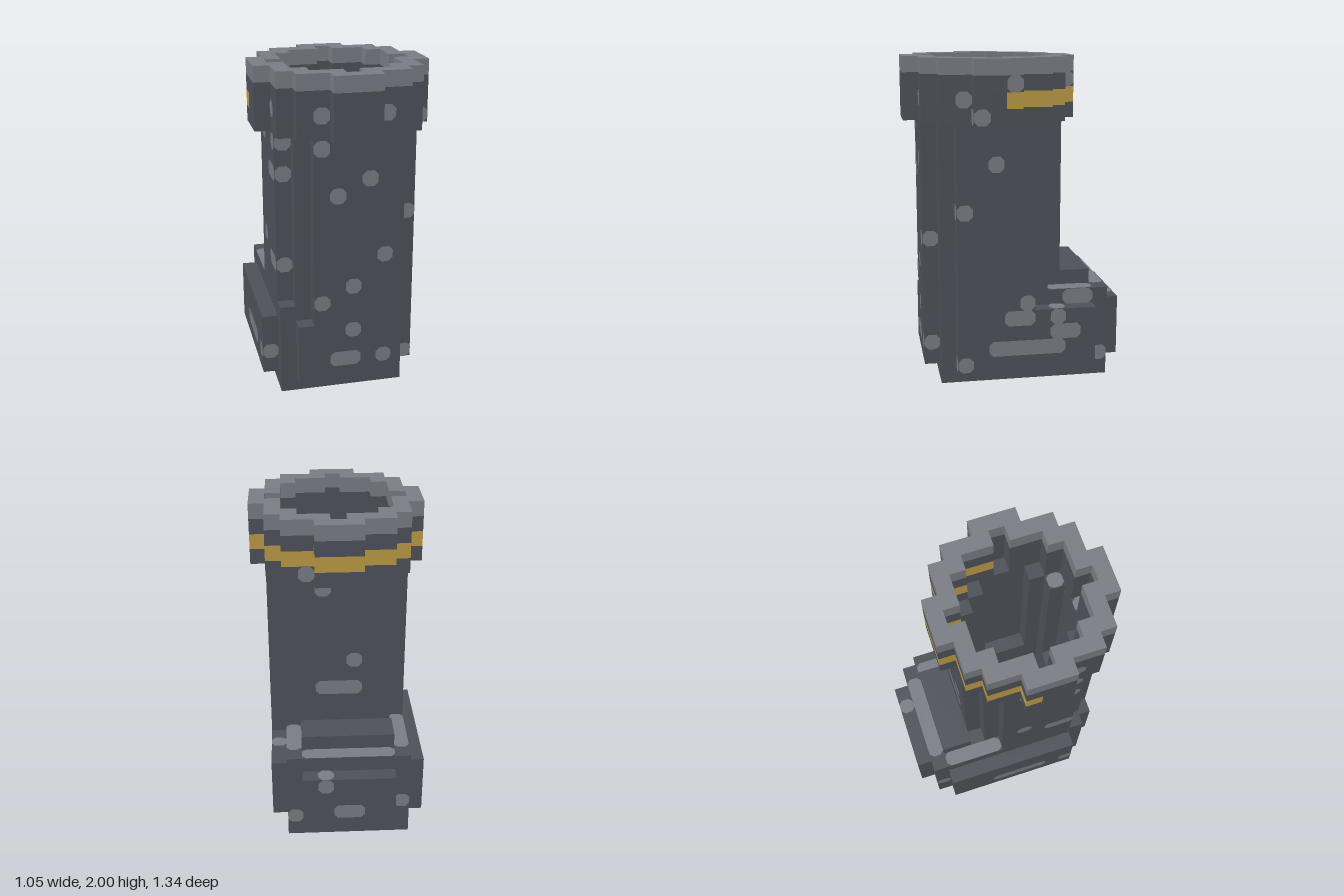
import * as THREE from 'three';
import { mergeGeometries } from 'three/addons/utils/BufferGeometryUtils.js';

// Everything is laid out on a grid of blocks (x 0..11, y 0..21, z 0..14), scaled at the end.
const UNIT = 2 / 21;

// Plans: first z row, then the [from, to] x span of each row.
const headOuter = { z: 3, rows: [[4, 7], [2, 9], [1, 10], [1, 10], [0, 11], [0, 11], [0, 11], [1, 10], [1, 10], [2, 9], [4, 7]] };
const headInner = { z: 4, rows: [[5, 6], [3, 8], [2, 9], [2, 9], [1, 10], [2, 9], [2, 9], [3, 8], [5, 6]] };
const bodyOuter = { z: 4, rows: [[3, 8], [2, 9], [1, 10], [1, 10], [1, 10], [1, 10], [1, 10], [2, 9], [3, 8]] };
const bodyInner = { z: 5, rows: [[4, 7], [3, 8], [2, 9], [2, 9], [2, 9], [3, 8], [4, 7]] };
const rect = (x0, x1, z0, z1) => ({ z: z0, rows: Array.from({ length: z1 - z0 }, () => [x0, x1]) });

function box(x0, x1, y0, y1, z0, z1) {
  const g = new THREE.BoxGeometry(x1 - x0, y1 - y0, z1 - z0);
  return g.translate((x0 + x1) / 2, (y0 + y1) / 2, (z0 + z1) / 2);
}

// Stepped wall between two plans, optionally only the rows from zMin to zMax
function wall(outer, inner, y0, y1, zMin = 0, zMax = 14) {
  const parts = [];
  outer.rows.forEach(([a, b], n) => {
    const z = outer.z + n;
    if (z < zMin || z >= zMax) return;
    const hole = inner.rows[z - inner.z];
    if (!hole) parts.push(box(a, b, y0, y1, z, z + 1));
    else parts.push(box(a, hole[0], y0, y1, z, z + 1), box(hole[1], b, y0, y1, z, z + 1));
  });
  return mergeGeometries(parts);
}

// Flat patch with clipped corners, w by h blocks, whose corner is at block (u, v) of a face
function spot(face, plane, u, v, w = 1, h = 1) {
  const c = 0.26, a = w / 2, b = h / 2;
  const pts = [[-a + c, -b], [a - c, -b], [a, -b + c], [a, b - c], [a - c, b], [-a + c, b], [-a, b - c], [-a, -b + c]];
  const g = new THREE.ShapeGeometry(new THREE.Shape(pts.map(p => new THREE.Vector2(...p))));
  const cu = u + a, cv = v + b, e = 0.035;
  if (face === 'front') return g.translate(cu, cv, plane + e);
  if (face === 'back') return g.rotateY(Math.PI).translate(cu, cv, plane - e);
  if (face === 'plusX') return g.rotateY(Math.PI / 2).translate(plane + e, cv, cu);
  if (face === 'minusX') return g.rotateY(-Math.PI / 2).translate(plane - e, cv, cu);
  return g.rotateX(-Math.PI / 2).translate(cu, plane + e, cv);
}

// Patches per face: [plane, u, v, width, height]
const spots = {
  front: [
    [13, 3, 18], [13, 7, 18], [10, 10, 17], [11, 1, 16], [13, 3, 16], [11, 1, 14], [13, 6, 14],
    [13, 4, 13], [11, 9, 11], [13, 7, 9], [11, 1, 8], [13, 5, 7], [13, 3, 6], [13, 5, 4],
    [13, 4, 2, 2], [13, 7, 2], [11, 0, 2], [11, 9, 1],
  ],
  plusX: [
    [10, 10, 18], [11, 9, 17], [11, 7, 19], [7, 3, 19], [10, 8, 14], [10, 10, 11], [8, 12, 9],
    [10, 4, 2, 5], [10, 6, 4, 2], [10, 6, 5], [10, 4, 4], [10, 3, 3, 2], [9, 2, 5, 2],
    [9, 1, 1], [10, 10, 1], [8, 12, 2],
  ],
  back: [[4, 4, 9, 3], [4, 4, 11], [4, 6, 16], [0, 4, 2, 2], [0, 6, 4], [1, 1, 2], [1, 8, 1], [4, 7, 17]],
  minusX: [
    [1, 7, 16], [1, 10, 16], [1, 9, 14, 2], [1, 9, 8, 2], [1, 7, 9],
    [0, 5, 2, 4], [0, 10, 2], [1, 1, 2], [1, 10, 18],
  ],
  top: [
    [6, 2, 1, 6], [6, 1, 2, 1, 4], [6, 8, 2, 1, 3], [5, 9, 4], [5, 6, 0],
    [17, 5, 4], [17, 5, 12], [17, 7, 11], [6, 4, 11, 2], [1, 8, 7, 1, 2],
  ],
};

export function createModel() {
  const stone = new THREE.MeshStandardMaterial({ color: 0x4d5158 });
  stone.name = 'darkStone';
  const pale = new THREE.MeshStandardMaterial({ color: 0x7a7c84 });
  pale.name = 'paleStone';
  const gold = new THREE.MeshStandardMaterial({ color: 0xbb9a45 });
  gold.name = 'gold';

  const blocks = new THREE.Group();
  blocks.name = 'tower';
  const add = (name, geometry, material) => {
    const mesh = new THREE.Mesh(geometry, material);
    mesh.name = name;
    blocks.add(mesh);
  };

  // Foot: open plinth, hollow core, raised panels on four sides and a step at the back
  add('plinth', wall(rect(1, 9, 1, 12), rect(3, 7, 3, 10), 0, 1), stone);
  add('footCore', wall(rect(1, 9, 1, 12), rect(2, 8, 2, 11), 1, 5), stone);
  add('footLedge', wall(rect(1, 9, 1, 12), rect(2, 8, 5, 11), 5, 6), stone);
  add('frontPanel', box(2, 8, 1, 5, 12, 13), stone);
  add('backPanel', box(2, 8, 1, 5, 0, 1), stone);
  add('sidePanelMinusX', box(0, 1, 1, 5, 2, 11), stone);
  add('sidePanelPlusX', box(9, 10, 1, 5, 2, 11), stone);
  add('backStep', box(2, 8, 6, 7, 2, 4), stone);

  // Shaft
  add('shaft', wall(bodyOuter, bodyInner, 5, 17), stone);

  // Head: overhanging ring with a gold band round its rear half and a pale rim
  add('headBase', wall(headOuter, headInner, 17, 18), stone);
  add('goldBand', wall(headOuter, headInner, 18, 19, 3, 8), gold);
  add('headBandFront', wall(headOuter, headInner, 18, 19, 8, 14), stone);
  add('headUpper', wall(headOuter, headInner, 19, 20), stone);
  add('rim', wall(headOuter, headInner, 20, 21), pale);

  // Worn patches
  for (const [face, list] of Object.entries(spots)) {
    add(face + 'Patches', mergeGeometries(list.map(s => spot(face, ...s))), pale);
  }

  blocks.scale.setScalar(UNIT);
  blocks.position.set(-5.5 * UNIT, 0, -7 * UNIT);
  const model = new THREE.Group();
  model.name = 'stoneTower';
  model.add(blocks);
  return model;
}
